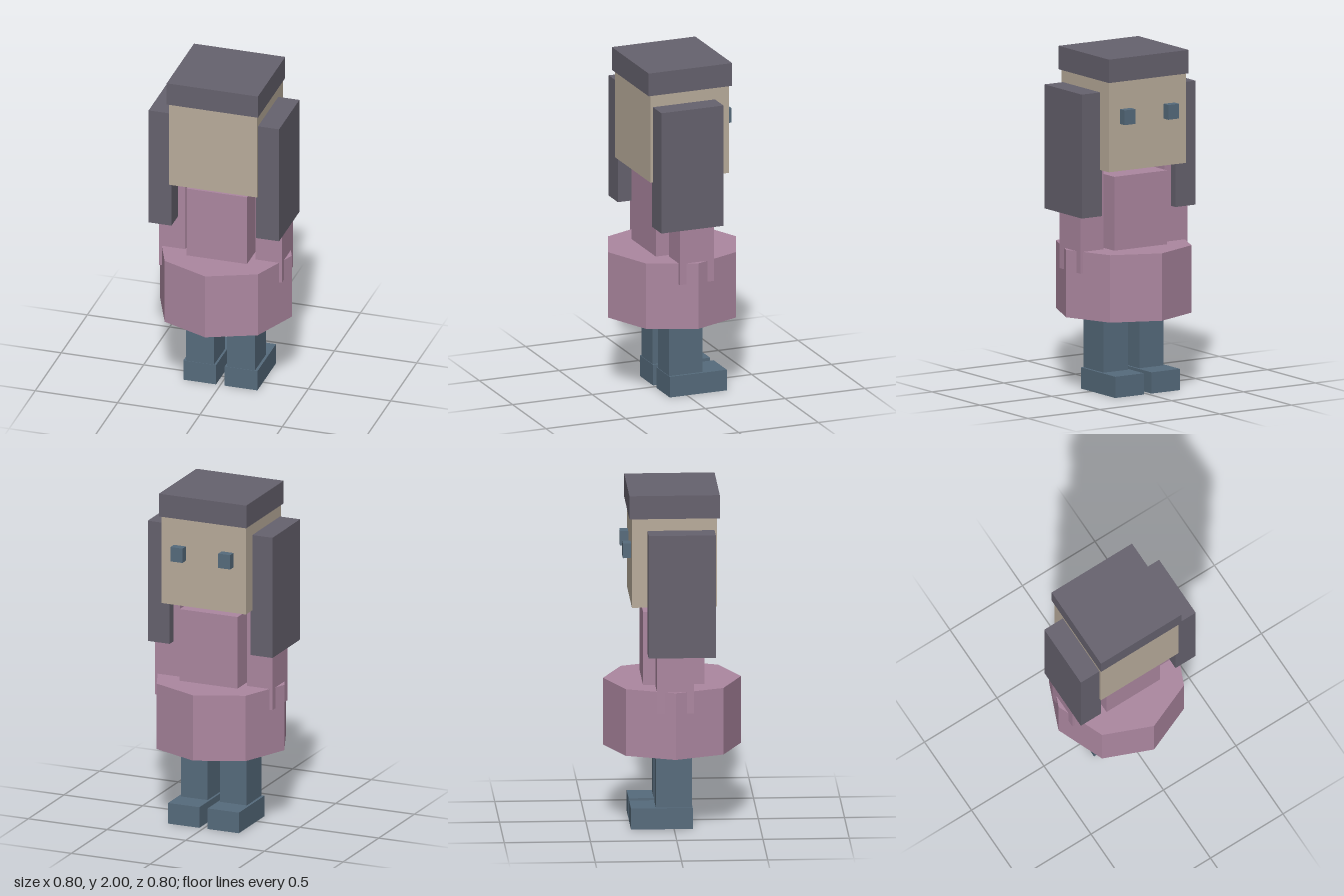
import * as THREE from 'three';

const flat = (name, color) => {
  const m = new THREE.MeshStandardMaterial({ color });
  m.name = name;
  return m;
};

export function createModel() {
  const hair = flat('hair grey', 0x66626e);
  const skin = flat('skin beige', 0xb9ac9b);
  const dress = flat('dress pink', 0xac87a0);
  const blue = flat('slate blue', 0x566b7c);

  const model = new THREE.Group();
  model.name = 'figure';

  // Box given by its extents along each axis
  function block(name, material, [x0, x1], [y0, y1], [z0, z1]) {
    const mesh = new THREE.Mesh(new THREE.BoxGeometry(x1 - x0, y1 - y0, z1 - z0), material);
    mesh.position.set((x0 + x1) / 2, (y0 + y1) / 2, (z0 + z1) / 2);
    mesh.name = name;
    model.add(mesh);
  }

  // The same box on both sides of the body
  function pair(name, material, [x0, x1], y, z) {
    block('left' + name, material, [x0, x1], y, z);
    block('right' + name, material, [-x1, -x0], y, z);
  }

  // Head and the flat hair on top
  block('head', skin, [-0.268, 0.268], [1.333, 1.862], [-0.247, 0.247]);
  block('hairTop', hair, [-0.277, 0.277], [1.862, 2], [-0.262, 0.262]);
  pair('HairSide', hair, [0.257, 0.396], [1.06, 1.79], [-0.157, 0.232]);
  pair('Eye', blue, [0.114, 0.19], [1.61, 1.697], [-0.295, -0.24]);

  // Torso and arms
  block('torso', dress, [-0.184, 0.184], [0.8, 1.287], [-0.178, 0.178]);
  pair('Arm', dress, [0.213, 0.373], [0.725, 1.34], [-0.107, 0.107]);

  // Eight-sided skirt
  const skirt = new THREE.CylinderGeometry(0.4, 0.4, 0.397, 8).toNonIndexed();
  skirt.computeVertexNormals();
  const skirtMesh = new THREE.Mesh(skirt, dress);
  skirtMesh.position.y = 0.6535;
  skirtMesh.name = 'skirt';
  model.add(skirtMesh);

  // Legs and feet
  pair('Leg', blue, [0.039, 0.209], [0.12, 0.48], [-0.105, 0.105]);
  pair('Foot', blue, [0.026, 0.225], [0, 0.125], [-0.25, 0.108]);

  return model;
}
